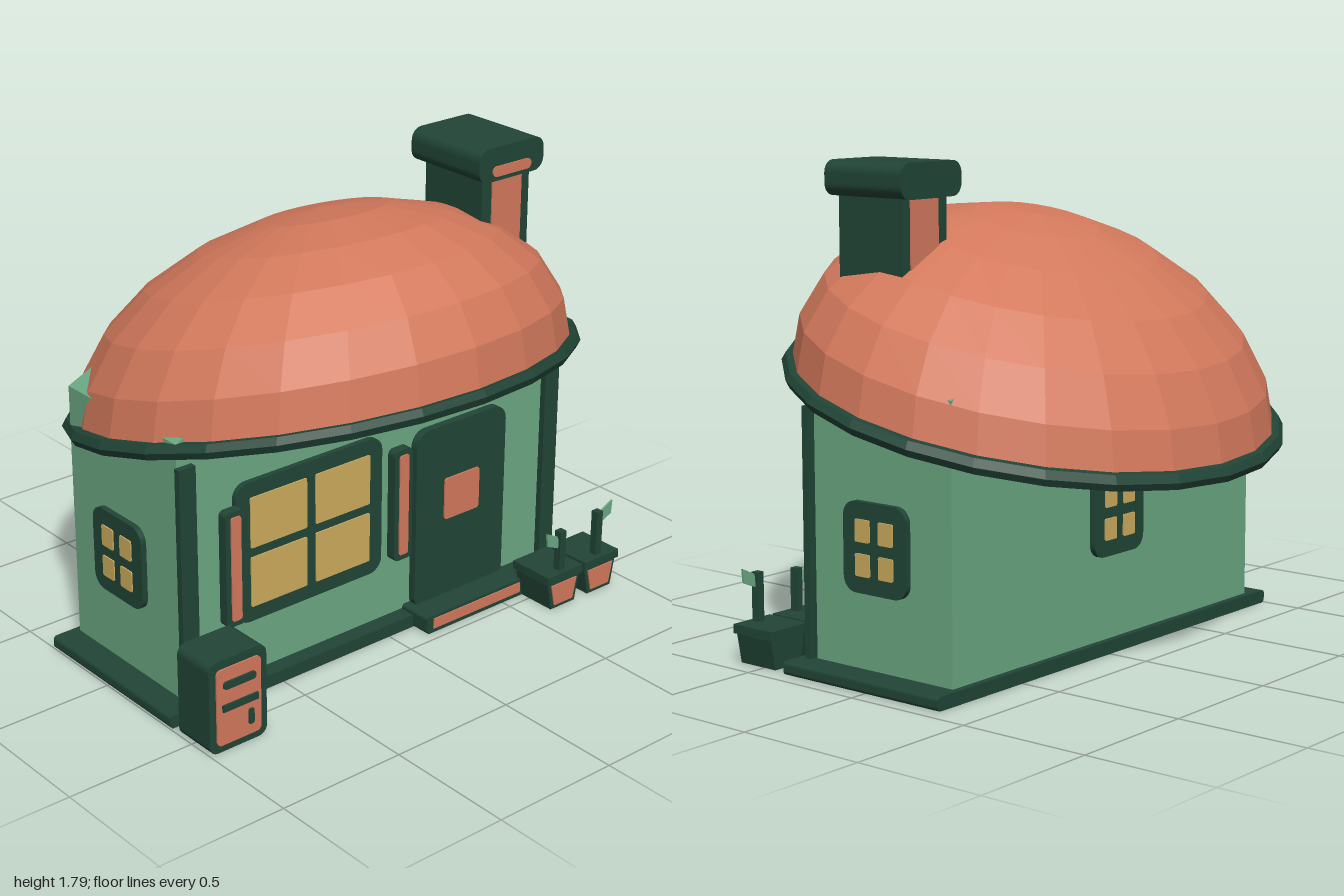
import * as THREE from 'three';

const material = (name, color, side = THREE.FrontSide) => {
  const m = new THREE.MeshStandardMaterial({ color, side });
  m.name = name;
  return m;
};

export function createModel() {
  const wallGreen = material('wall green', 0x6ba882, THREE.DoubleSide);
  const darkGreen = material('dark green', 0x214537);
  const terracotta = material('terracotta', 0xd3795c, THREE.DoubleSide);
  const yellow = material('window yellow', 0xcdac5e);

  const house = new THREE.Group();
  house.name = 'cottage';

  const add = (name, geometry, mat, parent = house) => {
    const mesh = new THREE.Mesh(geometry, mat);
    mesh.name = name;
    parent.add(mesh);
    return mesh;
  };

  const polygon = (points) => new THREE.Shape(points.map(([x, y]) => new THREE.Vector2(x, y)));

  const extrude = (shape, z0, z1) =>
    new THREE.ExtrudeGeometry(shape, { depth: z1 - z0, bevelEnabled: false, curveSegments: 4 }).translate(0, 0, z0);

  // Slab with rounded corners, seen from the front
  const slab = (name, mat, [x0, x1], [y0, y1], [z0, z1], r = 0, parent = house) => {
    let shape;
    if (r === 0) {
      shape = polygon([[x0, y0], [x1, y0], [x1, y1], [x0, y1]]);
    } else {
      shape = new THREE.Shape();
      shape.absarc(x1 - r, y0 + r, r, -Math.PI / 2, 0);
      shape.absarc(x1 - r, y1 - r, r, 0, Math.PI / 2);
      shape.absarc(x0 + r, y1 - r, r, Math.PI / 2, Math.PI);
      shape.absarc(x0 + r, y0 + r, r, Math.PI, Math.PI * 1.5);
    }
    return add(name, extrude(shape, z0, z1), mat, parent);
  };

  // Base and walls, with wall tops hidden under the roof
  slab('base', darkGreen, [-1, 0.945], [0, 0.05], [-0.34, 0.38], 0.015);
  const wallShape = polygon([[-0.9, 0.01], [0.84, 0.01], [0.84, 1.03], [0.65, 1.12], [-0.7, 1.12], [-0.9, 1.03]]);
  add('walls', extrude(wallShape, -0.315, 0.315), wallGreen);
  for (const x of [-0.915, 0.795]) slab('cornerPost', darkGreen, [x, x + 0.07], [0.04, 0.95], [0.325, 0.35]);

  // Faceted dome roof and its rim, both sheared so the front sits higher
  const shear = (geometry, slope, height) => {
    const p = geometry.attributes.position;
    for (let i = 0; i < p.count; i++) p.setY(i, p.getY(i) + height + slope * p.getZ(i));
    const flat = geometry.toNonIndexed();
    flat.computeVertexNormals();
    return flat;
  };
  const dome = new THREE.SphereGeometry(1, 24, 6, 0, Math.PI * 2, 0, Math.PI / 2).scale(0.955, 0.655, 0.825);
  add('roof', shear(dome, 0.25, 0.925), terracotta);
  const rim = new THREE.TorusGeometry(0.964, 0.032, 6, 24).rotateX(-Math.PI / 2).scale(1, 1, 0.86);
  add('roofRim', shear(rim, 0.24, 0.927), darkGreen);

  // Chimney
  slab('chimneyStack', darkGreen, [0.44, 0.67], [1.25, 1.68], [0.05, 0.345]);
  slab('chimneyFrontPanel', terracotta, [0.487, 0.63], [1.28, 1.66], [0.345, 0.35]);
  slab('chimneyBackPanel', terracotta, [0.487, 0.63], [1.28, 1.66], [0.045, 0.05]);
  slab('chimneyCap', darkGreen, [0.397, 0.71], [1.665, 1.79], [0.018, 0.375], 0.045);
  slab('chimneyCapStrip', terracotta, [0.46, 0.645], [1.682, 1.72], [0.375, 0.381], 0.018);

  // Four-pane window, facing +z and centred on its own origin
  const makeWindow = (name, w, h, paneX, paneY, depth) => {
    const g = new THREE.Group();
    g.name = name;
    slab('windowFrame', darkGreen, [-w / 2, w / 2], [-h / 2, h / 2], [0, depth], 0.055, g);
    for (const sx of [-1, 1]) for (const sy of [-1, 1]) {
      const xs = paneX.map((v) => v * sx).sort((a, b) => a - b);
      const ys = paneY.map((v) => v * sy).sort((a, b) => a - b);
      slab('windowPane', yellow, xs, ys, [depth, depth + 0.005], 0.006, g);
    }
    house.add(g);
    return g;
  };
  makeWindow('frontWindow', 0.66, 0.54, [0.02, 0.27], [0.018, 0.212], 0.022).position.set(-0.355, 0.55, 0.335);
  const small = (name, x, y, z, turn) => {
    const g = makeWindow(name, 0.29, 0.32, [0.02, 0.087], [0.02, 0.1], 0.022);
    g.position.set(x, y, z);
    g.rotation.y = turn;
  };
  small('leftWindow', 0.857, 0.49, 0, Math.PI / 2);
  small('rightWindow', -0.913, 0.49, 0, -Math.PI / 2);
  small('backWindow', -0.03, 0.53, -0.333, Math.PI);

  // Shutters
  for (const x of [-0.777, -0.017]) {
    slab('shutter', darkGreen, [x, x + 0.085], [0.33, 0.77], [0.38, 0.418], 0.02);
    slab('shutterPanel', terracotta, [x + 0.021, x + 0.064], [0.352, 0.75], [0.418, 0.423], 0.01);
  }

  // Door and step
  slab('door', darkGreen, [0.143, 0.585], [0.04, 0.77], [0.325, 0.357], 0.06);
  slab('doorPanel', terracotta, [0.28, 0.452], [0.385, 0.552], [0.357, 0.363], 0.012);
  slab('doorStep', darkGreen, [0.115, 0.615], [0, 0.07], [0.32, 0.46], 0.012);
  slab('stepPanel', terracotta, [0.145, 0.585], [0.018, 0.058], [0.46, 0.465]);

  // Mailbox
  slab('mailbox', darkGreen, [-1, -0.755], [0, 0.355], [0.43, 0.605], 0.035);
  slab('mailboxPanel', terracotta, [-0.972, -0.783], [0.028, 0.322], [0.605, 0.611], 0.02);
  slab('mailboxSlot', darkGreen, [-0.945, -0.81], [0.245, 0.273], [0.611, 0.62], 0.01);
  slab('mailboxBar', darkGreen, [-0.95, -0.8], [0.16, 0.185], [0.611, 0.62]);
  slab('mailboxLatch', darkGreen, [-0.84, -0.817], [0.07, 0.13], [0.611, 0.617], 0.008);

  // Potted plants
  const makePlant = (x, stemTop, dir, leafY) => {
    const g = new THREE.Group();
    g.name = 'pottedPlant';
    g.position.x = x;
    const body = (w, b) => polygon([[-b, 0], [b, 0], [w, 0.115], [-w, 0.115]]);
    add('pot', extrude(body(0.083, 0.062), 0.445, 0.615), darkGreen, g);
    add('potPanel', extrude(polygon([[-0.048, 0.015], [0.048, 0.015], [0.066, 0.1], [-0.066, 0.1]]), 0.615, 0.62), terracotta, g);
    slab('potRim', darkGreen, [-0.09, 0.09], [0.112, 0.145], [0.435, 0.625], 0, g);
    slab('stem', darkGreen, [-0.015, 0.015], [0.14, stemTop], [0.575, 0.605], 0, g);
    const leaf = polygon([[0.012 * dir, leafY], [0.07 * dir, leafY + 0.025], [0.075 * dir, leafY + 0.078], [0.018 * dir, leafY + 0.05]]);
    add('leaf', extrude(leaf, 0.587, 0.595), wallGreen, g);
    house.add(g);
  };
  makePlant(0.664, 0.305, -1, 0.235);
  makePlant(0.858, 0.325, 1, 0.27);

  return house;
}
